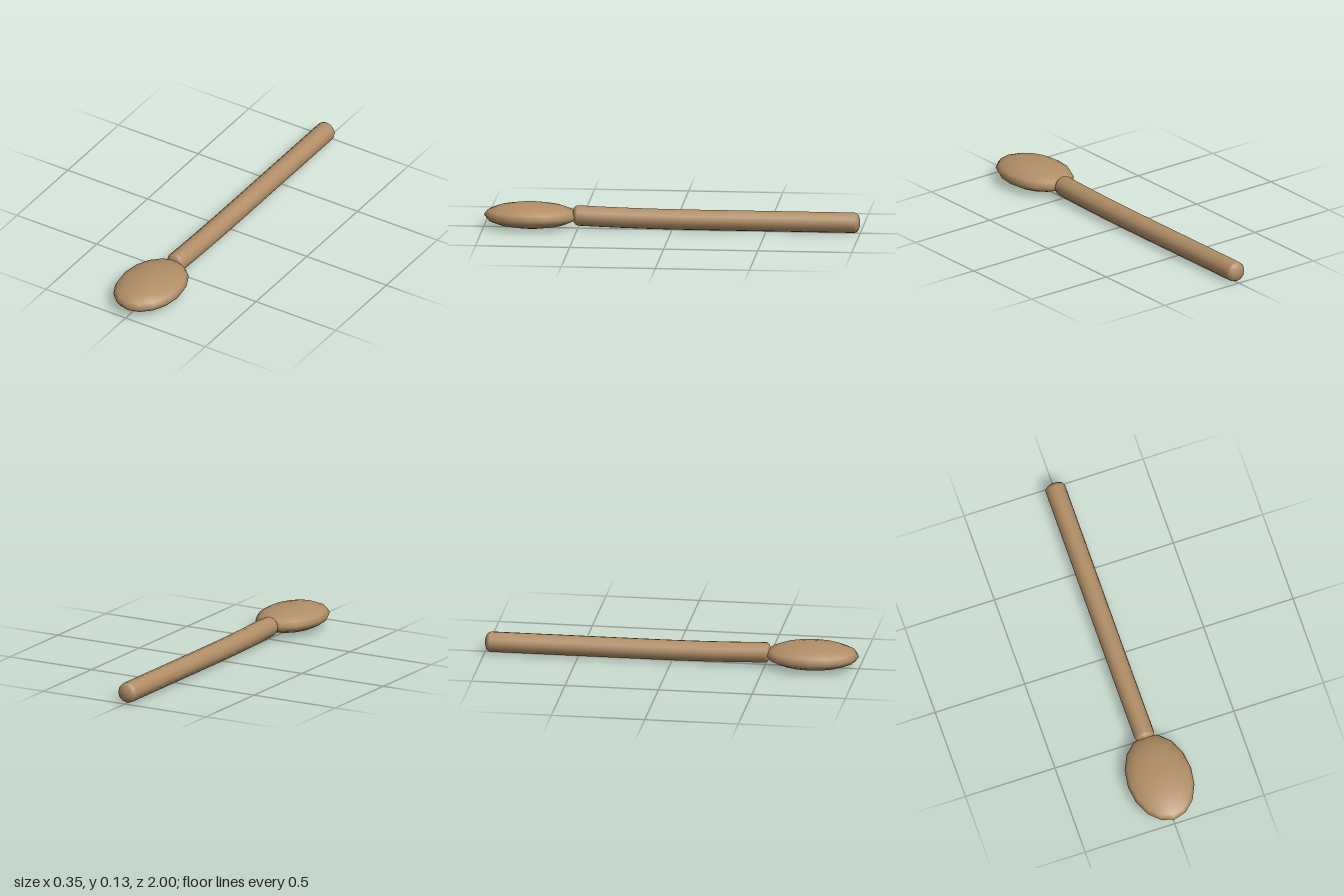
import * as THREE from 'three';

export function createModel() {
  const group = new THREE.Group();
  group.name = 'spoon';
  const wood = new THREE.MeshStandardMaterial({ color: 0xb18e66 });
  wood.name = 'wood';

  // Solid, flattened oval bowl
  const bowlGeometry = new THREE.SphereGeometry(1, 16, 8);
  bowlGeometry.scale(0.176, 0.066, 0.25);
  const bowl = new THREE.Mesh(bowlGeometry, wood);
  bowl.name = 'bowl';
  bowl.position.set(0, 0.066, 0.75);
  group.add(bowl);

  // Round handle with shallow domed ends, turned about its length
  const radius = 0.055, dome = 0.03, back = -0.97, front = 0.5;
  const profile = [];
  for (let i = 0; i <= 4; i++) {
    const a = (i / 4) * Math.PI / 2;
    profile.push(new THREE.Vector2(radius * Math.sin(a), back - dome * Math.cos(a)));
  }
  for (let i = 1; i < 12; i++) {
    profile.push(new THREE.Vector2(radius, back + (front - back) * i / 12));
  }
  for (let i = 4; i >= 0; i--) {
    const a = (i / 4) * Math.PI / 2;
    profile.push(new THREE.Vector2(radius * Math.sin(a), front + dome * Math.cos(a)));
  }
  const handleGeometry = new THREE.LatheGeometry(profile, 12);
  handleGeometry.rotateX(Math.PI / 2);

  // Gentle upward sweep where the handle meets the bowl
  const p = handleGeometry.attributes.position;
  for (let i = 0; i < p.count; i++) {
    const t = Math.max(0, (p.getZ(i) + 0.1) / 0.6);
    p.setY(i, p.getY(i) + 0.056 + 0.012 * t * t);
  }
  const handle = new THREE.Mesh(handleGeometry, wood);
  handle.name = 'handle';
  group.add(handle);

  return group;
}
